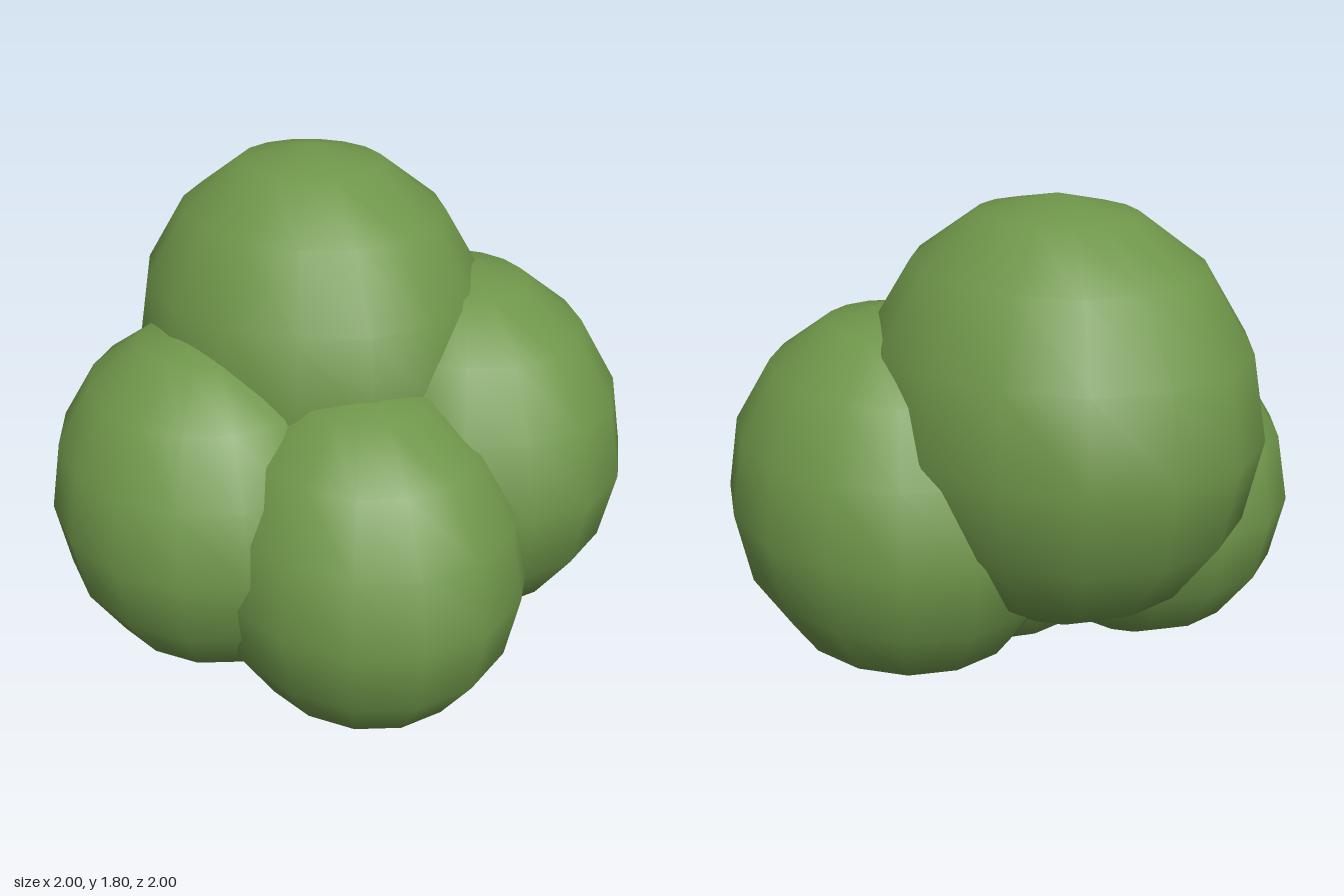
import * as THREE from 'three';

export function createModel() {
  const group = new THREE.Group();
  const leafGreen = new THREE.MeshStandardMaterial({ color: 0x6f964a });
  leafGreen.name = 'leafGreen';

  // One shared low-poly ball, smooth shaded, stretched into each leafy clump
  const ball = new THREE.SphereGeometry(1, 16, 8);

  // name, centre, radii
  const clumps = [
    ['topClump', [-0.02, 1.1, -0.25], [0.63, 0.7, 0.75]],
    ['leftClump', [0.43, 0.8, 0.02], [0.567, 0.635, 0.69]],
    ['rightClump', [-0.46, 0.7, 0.015], [0.54, 0.597, 0.65]],
    ['frontClump', [-0.02, 0.6, 0.35], [0.54, 0.6, 0.65]],
  ];

  for (const [name, centre, radii] of clumps) {
    const mesh = new THREE.Mesh(ball, leafGreen);
    mesh.name = name;
    mesh.position.set(...centre);
    mesh.scale.set(...radii);
    group.add(mesh);
  }
  return group;
}
